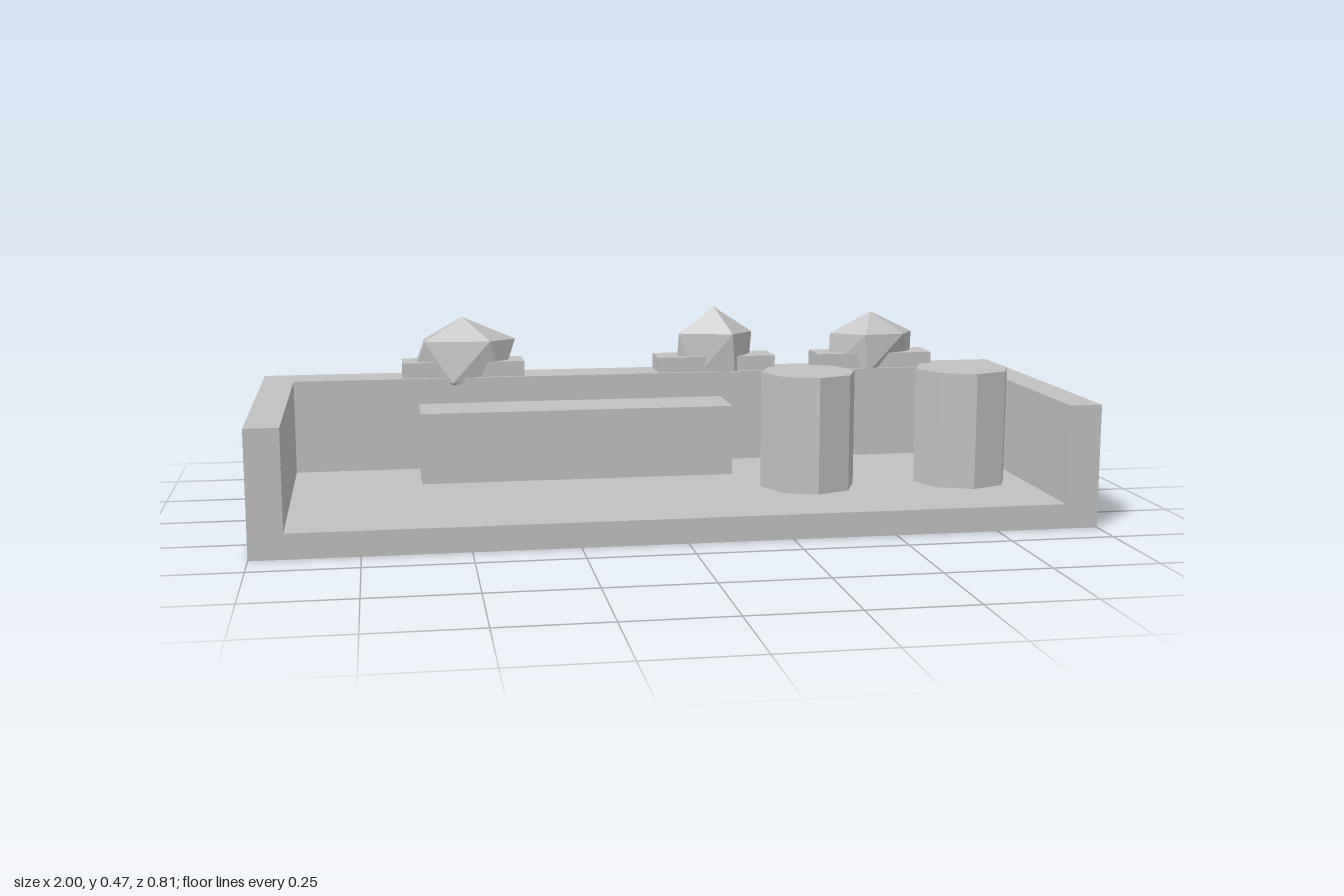
import * as THREE from 'three';
import { ConvexGeometry } from 'three/addons/geometries/ConvexGeometry.js';

export function createModel() {
  const model = new THREE.Group();
  model.name = 'tray';
  const stone = new THREE.MeshStandardMaterial({ color: 0xc0c0c0 });
  stone.name = 'light grey';

  function add(name, geometry, x = 0, y = 0, z = 0) {
    const mesh = new THREE.Mesh(geometry, stone);
    mesh.name = name;
    mesh.position.set(x, y, z + 0.004);
    model.add(mesh);
    return mesh;
  }
  // Box given by its centre in plan, its bottom and its size
  const block = (name, x, y, z, w, h, d) =>
    add(name, new THREE.BoxGeometry(w, h, d), x, y + h / 2, z);

  // Floor slab
  block('floor', 0, 0, 0, 2, 0.06, 0.8);

  // U-shaped wall, open to the front (shape y becomes -z)
  const plan = new THREE.Shape([
    [-1, -0.4], [-0.92, -0.4], [-0.92, 0.28], [0.92, 0.28],
    [0.92, -0.4], [1, -0.4], [1, 0.4], [-1, 0.4],
  ].map(([x, y]) => new THREE.Vector2(x, y)));
  const wall = new THREE.ExtrudeGeometry(plan, { depth: 0.24, bevelEnabled: false });
  wall.rotateX(-Math.PI / 2);
  add('wall', wall, 0, 0.06, 0);

  // Long block in front of the back wall
  block('bench', -0.2, 0.06, -0.16, 0.8, 0.18, 0.16);

  // Octagonal posts
  for (const x of [0.36, 0.76]) {
    const post = new THREE.CylinderGeometry(0.12, 0.12, 0.29, 8).toNonIndexed();
    post.computeVertexNormals();
    add('post', post, x, 0.205, 0.08);
  }

  // Uneven twelve-cornered rocks: an upper ring, an opposite lower ring and two tips
  const rocks = [
    { x: -0.48, tip: 0.115, ring: [[-0.1, 0.04], [0.07, 0.055], [0.14, 0], [0.03, -0.066], [-0.1, -0.035]] },
    { x: 0.2, tip: 0.13, ring: [[-0.1, 0.025], [0.04, 0.065], [0.105, 0], [0.06, -0.045], [-0.05, -0.055]] },
    { x: 0.64, tip: 0.11, ring: [[-0.115, 0.005], [-0.03, 0.06], [0.08, 0.05], [0.12, -0.01], [0.02, -0.06]] },
  ];
  for (const { x, tip, ring } of rocks) {
    block('plinth', x, 0.3, -0.34, 0.32, 0.04, 0.1);
    const points = [new THREE.Vector3(0, tip, 0), new THREE.Vector3(0, -tip, 0)];
    for (const [px, pz] of ring) {
      const corner = new THREE.Vector3(px, tip * 0.47, pz);
      points.push(corner, corner.clone().negate());
    }
    add('rock', new ConvexGeometry(points), x, 0.34, -0.34);
  }
  return model;
}
